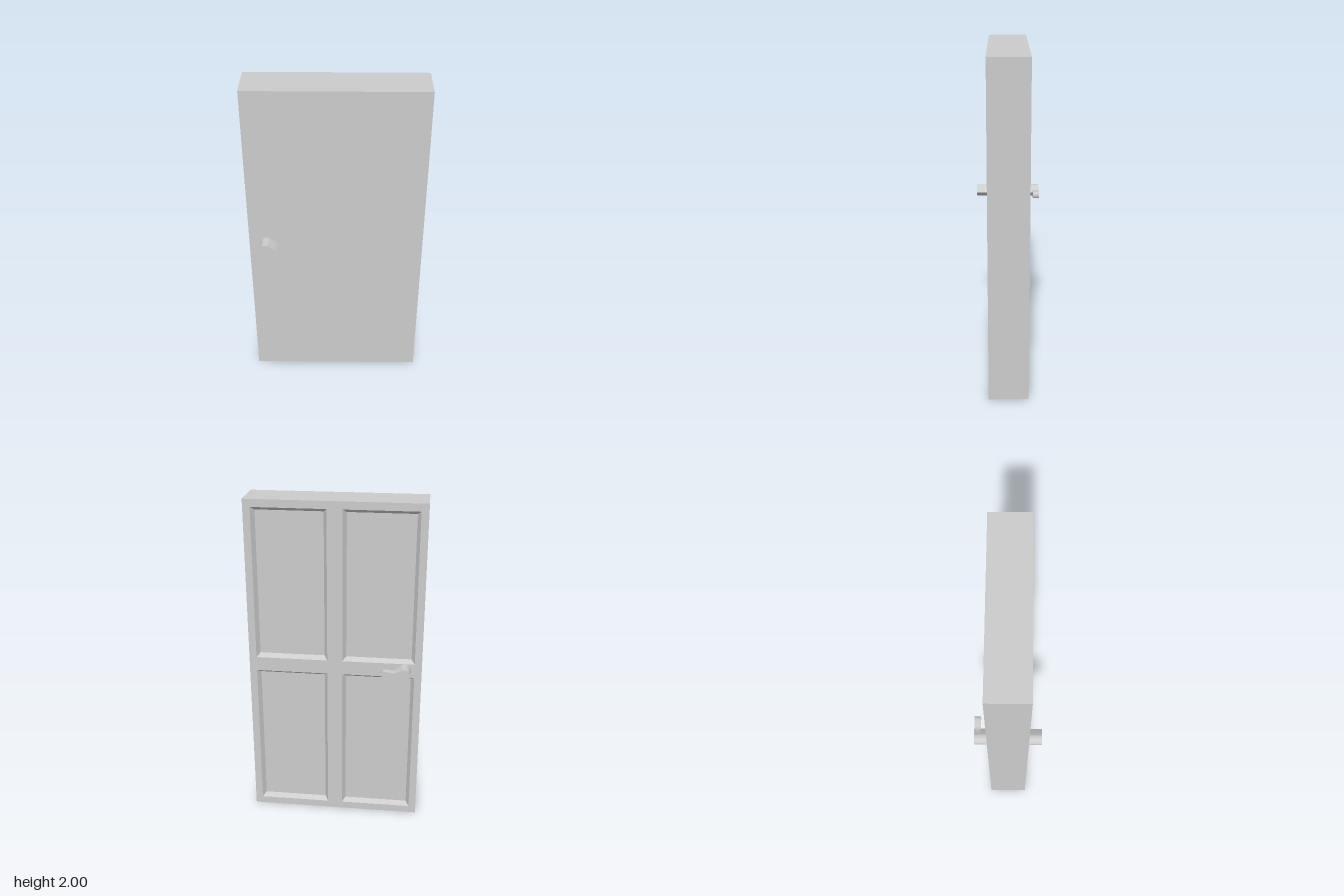
import * as THREE from 'three';
import { toCreasedNormals } from 'three/addons/utils/BufferGeometryUtils.js';

const W = 0.518, H = 2, D = 0.118; // half width, height, half depth
const HX = -0.414, HY = 1.004, R = 0.037; // handle axis and radius
const material = new THREE.MeshStandardMaterial({ color: 0xcccccc });

function addMesh(group, name, geometry) {
  const mesh = new THREE.Mesh(geometry, material);
  mesh.name = name;
  group.add(mesh);
  return mesh;
}

// Four walls between two rectangles [x0, x1, y0, y1, z], closed by a cap on the second
function rectLoft(a, b, inward) {
  const ring = ([x0, x1, y0, y1, z]) => [[x0, y0, z], [x1, y0, z], [x1, y1, z], [x0, y1, z]];
  const A = ring(a), B = ring(b), pos = [];
  const quad = (...q) => {
    const c = inward ? q.reverse() : q;
    for (const i of [0, 1, 2, 0, 2, 3]) pos.push(...c[i]);
  };
  for (let i = 0; i < 4; i++) {
    const j = (i + 1) % 4;
    quad(A[i], A[j], B[j], B[i]);
  }
  quad(...B);
  const g = new THREE.BufferGeometry();
  g.setAttribute('position', new THREE.Float32BufferAttribute(pos, 3));
  g.computeVertexNormals();
  return g;
}

function rectPath(PathType, x0, x1, y0, y1) {
  return new PathType([[x0, y0], [x1, y0], [x1, y1], [x0, y1]].map(p => new THREE.Vector2(...p)));
}

// Extrude a flat outline between two z positions
function slab(shape, z0, z1) {
  const g = new THREE.ExtrudeGeometry(shape, { depth: z1 - z0, bevelEnabled: false, curveSegments: 24 });
  g.translate(HX, HY, z0);
  return toCreasedNormals(g, 0.5);
}

export function createModel() {
  const model = new THREE.Group();
  model.name = 'door';

  // Plain front and edges
  addMesh(model, 'doorSlab', rectLoft([-W, W, 0, H, -D], [-W, W, 0, H, D], false));

  // Back frame with four bevelled, recessed panels
  const frame = rectPath(THREE.Shape, -W, W, 0, H);
  const inset = 0.02, depth = 0.03;
  for (const [x0, x1] of [[-0.475, -0.045], [0.045, 0.475]]) {
    for (const [y0, y1] of [[0.045, 0.957], [1.043, 1.955]]) {
      frame.holes.push(rectPath(THREE.Path, x0, x1, y0, y1));
      addMesh(model, 'recessedPanel', rectLoft(
        [x0, x1, y0, y1, -D],
        [x0 + inset, x1 - inset, y0 + inset, y1 - inset, -D + depth], true));
    }
  }
  // Turn the flat frame to face the back (its layout is symmetric in x)
  const backFrame = new THREE.ShapeGeometry(frame);
  backFrame.rotateY(Math.PI).translate(0, 0, -D);
  addMesh(model, 'backFrame', backFrame);

  // Teardrop spindle on both sides
  const tip = 0.061, t = Math.acos(R / tip);
  const drop = new THREE.Shape();
  drop.absarc(0, 0, R, t, Math.PI * 2 - t, false);
  drop.lineTo(tip, 0);
  drop.closePath();
  addMesh(model, 'frontKnob', slab(drop, D - 0.005, 0.2));
  addMesh(model, 'backSpindle', slab(drop, -0.2, -D + 0.005));

  // Back lever: narrow neck swelling to a rounded end
  const lever = new THREE.Shape();
  lever.moveTo(0.01, -0.034);
  lever.bezierCurveTo(0.035, -0.025, 0.045, -0.014, 0.065, -0.015);
  lever.quadraticCurveTo(0.09, -0.02, 0.112, -0.021);
  lever.quadraticCurveTo(0.131, -0.02, 0.131, 0);
  lever.quadraticCurveTo(0.131, 0.02, 0.112, 0.021);
  lever.quadraticCurveTo(0.09, 0.02, 0.065, 0.015);
  lever.bezierCurveTo(0.045, 0.014, 0.035, 0.025, 0.01, 0.034);
  lever.closePath();
  addMesh(model, 'backLever', slab(lever, -0.202, -0.163));

  return model;
}
